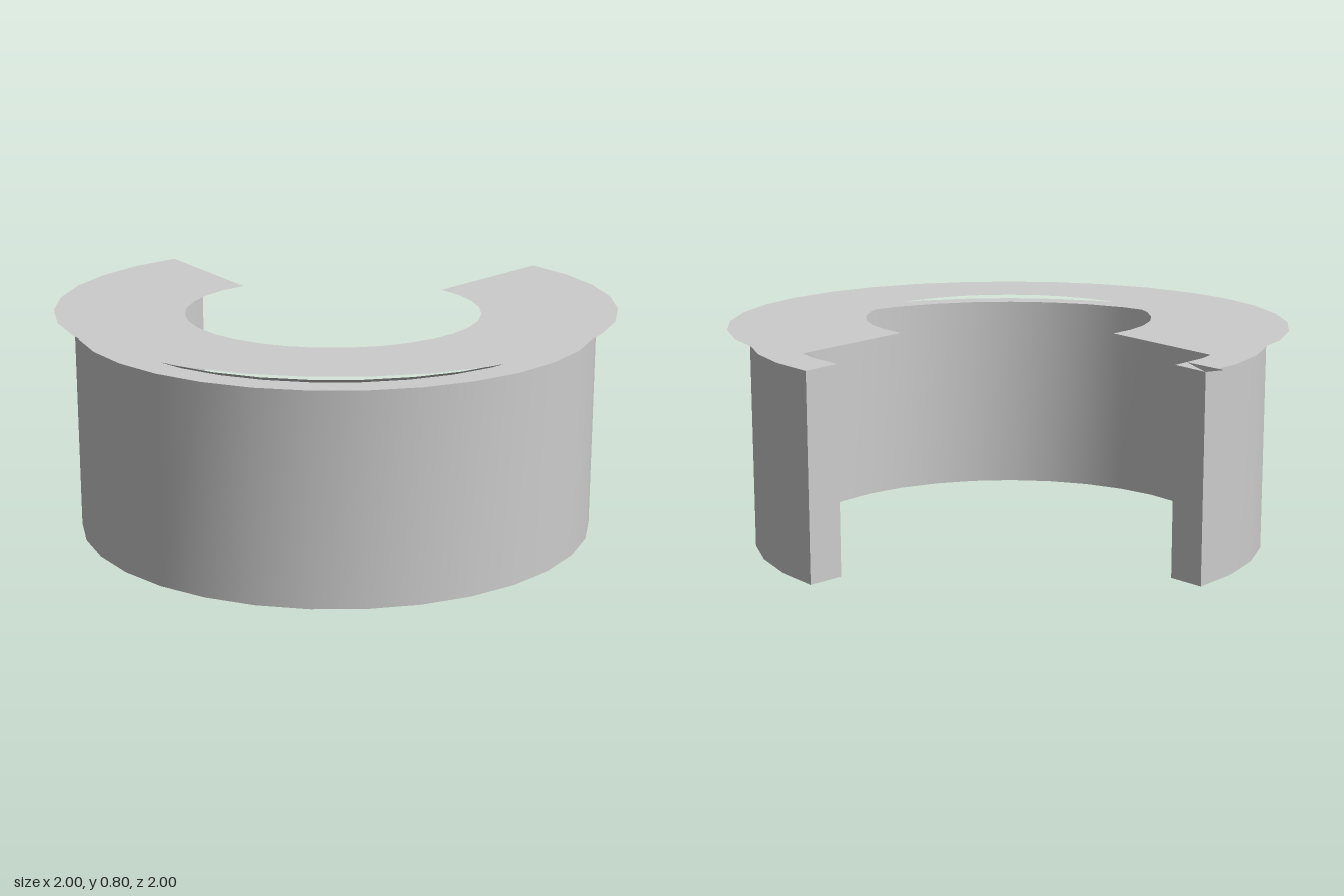
import * as THREE from 'three';

const SEGMENTS = 24;
const SWEEP = Math.PI * 1.5;

// Point at radius r, height y and sweep angle a; smaller rings shift towards the closed corner
function ringPoint([r, y], a) {
  const c = 0.179 * (1 - r);
  return [c - r * Math.cos(a), y, c + r * Math.sin(a)];
}

// Curved strip swept between two section points
function strip(p, q) {
  const pos = [], index = [];
  for (let i = 0; i <= SEGMENTS; i++) {
    const a = (SWEEP * i) / SEGMENTS;
    pos.push(...ringPoint(p, a), ...ringPoint(q, a));
    if (i < SEGMENTS) {
      const k = i * 2;
      index.push(k, k + 2, k + 3, k, k + 3, k + 1);
    }
  }
  return build(pos, index);
}

// Flat section face at sweep angle a
function section(points, a, reversed = false) {
  const list = reversed ? [...points].reverse() : points;
  const index = [];
  for (let i = 1; i < list.length - 1; i++) index.push(0, i, i + 1);
  return build(list.flatMap((p) => ringPoint(p, a)), index);
}

function build(pos, index) {
  const g = new THREE.BufferGeometry();
  g.setAttribute('position', new THREE.Float32BufferAttribute(pos, 3));
  g.setIndex(index);
  g.computeVertexNormals();
  return g;
}

export function createModel() {
  const model = new THREE.Group();
  model.name = 'curvedCounter';
  const grey = new THREE.MeshStandardMaterial({ color: 0xcccccc });
  grey.name = 'lightGrey';

  const part = (name, parent) => {
    const g = new THREE.Group();
    g.name = name;
    parent.add(g);
    return g;
  };
  const add = (parent, name, geometry) => {
    const m = new THREE.Mesh(geometry, grey);
    m.name = name;
    parent.add(m);
  };

  // Curved base wall: closed section swept three quarters round, with end caps
  const wall = part('baseWall', model);
  const wallSection = [[0.797, 0], [0.925, 0.008], [0.925, 0.74], [0.797, 0.74]];
  ['wallBottom', 'wallOuter', 'wallTop', 'wallInner'].forEach((name, i) =>
    add(wall, name, strip(wallSection[i], wallSection[(i + 1) % 4])));
  add(wall, 'wallStartCap', section(wallSection, 0));
  add(wall, 'wallEndCap', section(wallSection, SWEEP, true));

  // Flared lip above the wall, with small end gussets and one support fin
  const lip = part('lip', model);
  add(lip, 'flare', strip([0.797, 0.74], [0.845, 0.758]));
  const gusset = [[0.845, 0.758], [0.925, 0.74], [1, 0.76]];
  add(lip, 'startGusset', section(gusset, 0));
  add(lip, 'endGusset', section(gusset, SWEEP));
  const fin = [[0.797, 0.74], [0.845, 0.758], [0.845, 0.794], [0.797, 0.794]];
  add(lip, 'supportFin', section(fin, (SWEEP * 5) / SEGMENTS, true));

  // Thin countertop with a slightly dished underside
  const top = part('countertop', model);
  add(top, 'topSurface', strip([1, 0.8], [0.52, 0.8]));
  add(top, 'undersideOuter', strip([0.625, 0.793], [1, 0.799]));
  add(top, 'undersideInner', strip([0.52, 0.795], [0.625, 0.793]));

  return model;
}
